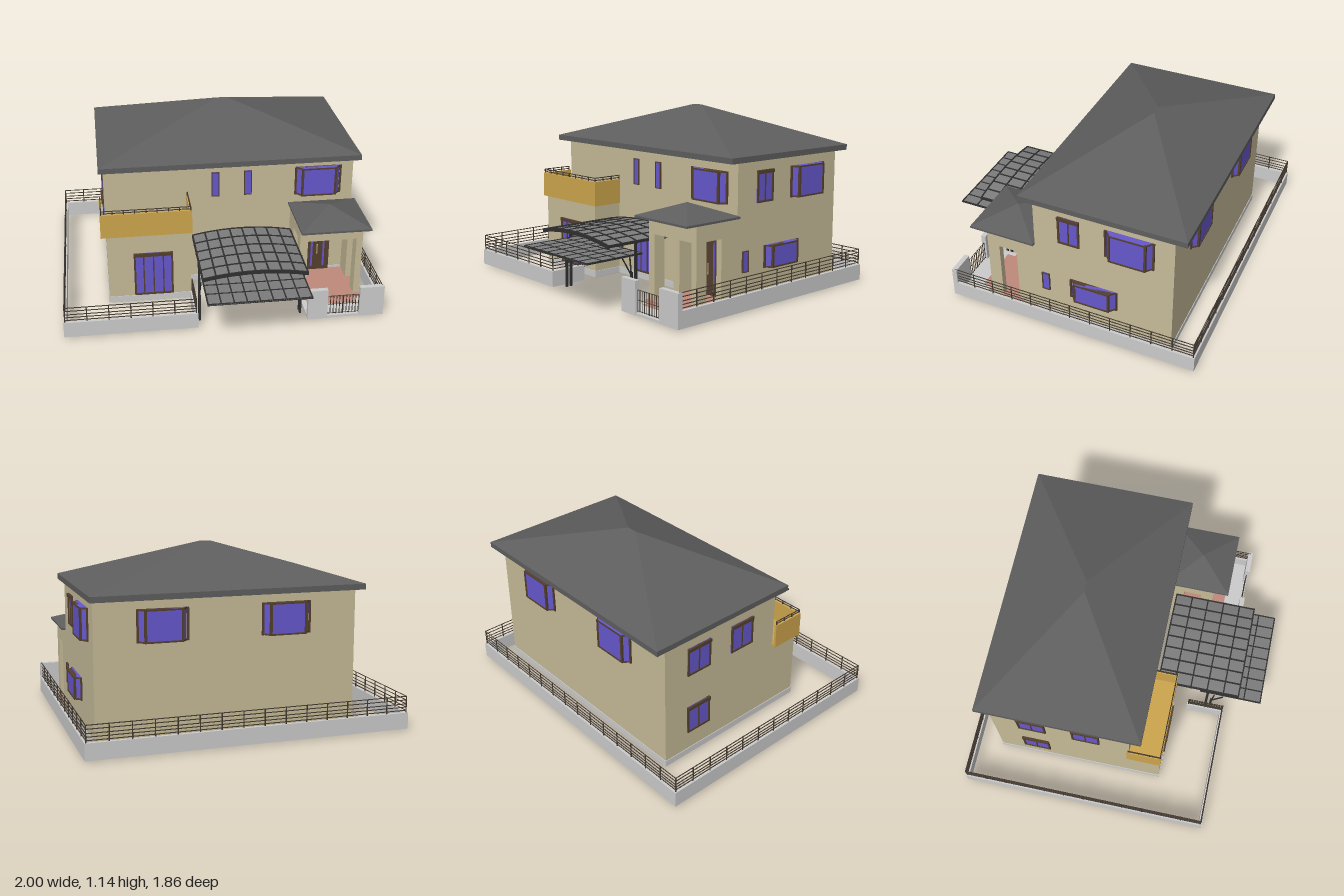
import * as THREE from 'three';
import { ConvexGeometry } from 'three/addons/geometries/ConvexGeometry.js';

const mat = (color) => new THREE.MeshStandardMaterial({ color });
const WALL = mat(0xc6bb98), GREY = mat(0xcccccc), ROOF = mat(0x5e5e5e), GLASS = mat(0x6658cc);
const FRAME = mat(0x54402e), DARK = mat(0x303030), YELLOW = mat(0xcda54c), TILE = mat(0xc08a7c);
const PANEL = mat(0x7c7c7c), FENCE = mat(0x453c33), METAL = mat(0xc9b27a);

// Box given by its limits
function box(parent, name, m, x0, x1, y0, y1, z0, z1) {
  const mesh = new THREE.Mesh(new THREE.BoxGeometry(x1 - x0, y1 - y0, z1 - z0), m);
  mesh.position.set((x0 + x1) / 2, (y0 + y1) / 2, (z0 + z1) / 2);
  mesh.name = name;
  parent.add(mesh);
  return mesh;
}

function group(parent, name) {
  const g = new THREE.Group();
  g.name = name;
  parent.add(g);
  return g;
}

// Round bar between two points
function bar(parent, name, m, a, b, r) {
  const A = new THREE.Vector3(...a), B = new THREE.Vector3(...b);
  const mesh = new THREE.Mesh(new THREE.CylinderGeometry(r, r, A.distanceTo(B), 6), m);
  mesh.position.copy(A).lerp(B, 0.5);
  mesh.quaternion.setFromUnitVectors(new THREE.Vector3(0, 1, 0), B.sub(A).normalize());
  mesh.name = name;
  parent.add(mesh);
}

// Hipped roof with a vertical fascia
function hipRoof(parent, name, x0, x1, z0, z1, y0, y1, top, ridge0, ridge1, ridgeZ) {
  const pts = [];
  for (const x of [x0, x1]) for (const z of [z0, z1]) for (const y of [y0, y1]) pts.push(new THREE.Vector3(x, y, z));
  pts.push(new THREE.Vector3(ridge0, top, ridgeZ));
  if (ridge1 !== ridge0) pts.push(new THREE.Vector3(ridge1, top, ridgeZ));
  const mesh = new THREE.Mesh(new ConvexGeometry(pts), ROOF);
  mesh.name = name;
  parent.add(mesh);
}

// Flat window facing +z; panes side by side, optional hood over the top
function flatWindow(parent, name, pos, turn, w, h, panes = 1, hood = false, f = 0.012) {
  const g = group(parent, name);
  g.position.set(...pos);
  g.rotation.y = turn;
  box(g, 'glass', GLASS, -w / 2, w / 2, -h / 2, h / 2, -0.005, 0.004);
  for (const s of [-1, 1]) {
    box(g, 'frameRail', FRAME, -w / 2, w / 2, s * (h - f) / 2 - f / 2, s * (h - f) / 2 + f / 2, -0.005, 0.01);
    box(g, 'frameStile', FRAME, s * (w - f) / 2 - f / 2, s * (w - f) / 2 + f / 2, -h / 2, h / 2, -0.005, 0.01);
  }
  for (let i = 1; i < panes; i++) {
    const x = -w / 2 + (w * i) / panes;
    box(g, 'mullion', FRAME, x - 0.004, x + 0.004, -h / 2, h / 2, -0.005, 0.008);
  }
  if (hood) box(g, 'shutterBox', FRAME, -w / 2, w / 2, h / 2 - 0.022, h / 2, 0, 0.016);
}

// Bay window facing +z with slanted sides
function bayWindow(parent, name, pos, turn, w, h) {
  const g = group(parent, name), d = 0.044, c = 0.045;
  g.position.set(...pos);
  g.rotation.y = turn;
  const slab = (part, m, grow, y0, y1) => {
    const a = w / 2 + grow;
    const s = new THREE.Shape([[-a, 0.01], [a, 0.01], [a - c, -d - grow], [c - a, -d - grow]].map((p) => new THREE.Vector2(...p)));
    const geo = new THREE.ExtrudeGeometry(s, { depth: y1 - y0, bevelEnabled: false });
    geo.rotateX(-Math.PI / 2);
    geo.translate(0, y0, 0);
    const mesh = new THREE.Mesh(geo, m);
    mesh.name = part;
    g.add(mesh);
  };
  slab('glass', GLASS, -0.004, -h / 2, h / 2);
  slab('sill', FRAME, 0, -h / 2, -h / 2 + 0.01);
  slab('head', FRAME, 0, h / 2 - 0.01, h / 2);
  for (const s of [-1, 1]) {
    const e = s * (w / 2 - 0.006), i = s * (w / 2 - c);
    box(g, 'cornerPost', FRAME, i - 0.007, i + 0.007, -h / 2, h / 2, d - 0.014, d);
    box(g, 'wallPost', FRAME, e - 0.006, e + 0.006, -h / 2, h / 2, -0.005, 0.01);
  }
}

// Posts and rails along a straight run
function railing(parent, name, x0, z0, x1, z1, y0, y1, rails, step, r = 0.003) {
  const g = group(parent, name), n = Math.max(1, Math.round(Math.hypot(x1 - x0, z1 - z0) / step));
  for (const y of rails) bar(g, 'rail', FENCE, [x0, y, z0], [x1, y, z1], r);
  for (let i = 0; i <= n; i++) {
    const x = x0 + ((x1 - x0) * i) / n, z = z0 + ((z1 - z0) * i) / n;
    bar(g, 'post', FENCE, [x, y0, z], [x, y1, z], r * 1.3);
  }
}

export function createModel() {
  const model = new THREE.Group();
  model.name = 'house';
  const R = Math.PI / 2;

  // House walls and plinth
  box(model, 'mainWalls', WALL, -0.71, 0.905, 0.01, 0.88, -0.75, 0.14);
  box(model, 'frontRoom', WALL, -0.71, -0.18, 0.01, 0.495, 0.1, 0.345);
  box(model, 'mainPlinth', GREY, -0.714, 0.909, 0.014, 0.055, -0.754, 0.144);
  box(model, 'frontRoomPlinth', GREY, -0.714, -0.176, 0.014, 0.055, 0.1, 0.349);
  hipRoof(model, 'mainRoof', -0.74, 0.935, -0.83, 0.22, 0.87, 0.905, 1.14, 0.07, 0.14, -0.305);

  // Balcony with a rail on the parapet
  const balcony = group(model, 'balcony');
  box(balcony, 'floor', YELLOW, -0.745, -0.17, 0.49, 0.51, 0.13, 0.352);
  box(balcony, 'frontParapet', YELLOW, -0.745, -0.17, 0.49, 0.65, 0.337, 0.352);
  box(balcony, 'leftParapet', YELLOW, -0.745, -0.73, 0.49, 0.65, 0.13, 0.337);
  box(balcony, 'rightParapet', YELLOW, -0.185, -0.17, 0.49, 0.65, 0.13, 0.337);
  railing(balcony, 'frontRail', -0.737, 0.345, -0.178, 0.345, 0.65, 0.675, [0.66, 0.675], 0.07);
  for (const x of [-0.737, -0.178]) railing(balcony, 'sideRail', x, 0.14, x, 0.345, 0.65, 0.675, [0.66, 0.675], 0.07);

  // Front windows
  flatWindow(model, 'frontRoomWindow', [-0.42, 0.212, 0.345], 0, 0.25, 0.305, 4, true);
  flatWindow(model, 'centreWindow', [0.112, 0.212, 0.14], 0, 0.255, 0.305, 4, true);
  for (const x of [0.005, 0.215]) flatWindow(model, 'narrowUpperWindow', [x, 0.72, 0.14], 0, 0.05, 0.17, 1, false, 0.005);
  bayWindow(model, 'frontBay', [0.675, 0.713, 0.14], 0, 0.305, 0.195);

  // Right wall windows (+x)
  flatWindow(model, 'sideUpperWindow', [0.905, 0.713, -0.09], R, 0.14, 0.195, 2, true);
  bayWindow(model, 'sideUpperBay', [0.905, 0.713, -0.475], R, 0.31, 0.195);
  bayWindow(model, 'sideLowerBay', [0.905, 0.28, -0.245], R, 0.31, 0.14);
  flatWindow(model, 'sideNarrowWindow', [0.905, 0.275, 0.073], R, 0.052, 0.13, 1, false, 0.005);

  // Back and left wall windows
  for (const x of [0.5, -0.26]) bayWindow(model, 'backBay', [x, 0.713, -0.75], Math.PI, 0.31, 0.195);
  for (const [y, z] of [[0.695, -0.49], [0.695, -0.14], [0.275, -0.49]])
    flatWindow(model, 'leftWindow', [-0.71, y, z], -R, 0.18, 0.19, 2, true);

  // Entrance porch: open front and sides under a small hipped roof
  const porch = group(model, 'porch');
  box(porch, 'lintelBlock', WALL, 0.5, 0.905, 0.44, 0.55, 0.13, 0.47);
  for (const [a, b] of [[0.5, 0.55], [0.865, 0.905]]) {
    box(porch, 'column', WALL, a, b, 0.01, 0.44, 0.39, 0.47);
    box(porch, 'sideWall', WALL, a, b, 0.01, 0.44, 0.13, 0.27);
  }
  box(porch, 'tiledFloor', TILE, 0.5, 0.905, 0.01, 0.04, 0.14, 0.5);
  box(porch, 'step', TILE, 0.55, 0.865, 0.01, 0.03, 0.5, 0.56);
  hipRoof(porch, 'porchRoof', 0.485, 0.93, 0.14, 0.57, 0.545, 0.558, 0.64, 0.705, 0.705, 0.355);

  // Front door
  const door = group(model, 'frontDoor');
  box(door, 'frame', FRAME, 0.62, 0.775, 0.04, 0.42, 0.135, 0.152);
  box(door, 'leaf', FRAME, 0.672, 0.758, 0.045, 0.405, 0.15, 0.158);
  for (const x of [0.655, 0.735]) box(door, 'glassStrip', GLASS, x - 0.006, x + 0.006, 0.07, 0.375, 0.15, 0.161);
  bar(door, 'handle', METAL, [0.69, 0.17, 0.165], [0.69, 0.24, 0.165], 0.004);

  // Boundary wall with fence on top
  const fence = group(model, 'boundary'), rails = [0.125, 0.145, 0.165, 0.19, 0.213];
  const runs = [[-1, -0.92, 1, -0.92], [-0.99, -0.92, -0.99, 0.685], [0.99, -0.92, 0.99, 0.68],
    [-0.99, 0.685, -0.185, 0.685], [-0.185, 0.45, -0.185, 0.685]];
  for (const [x0, z0, x1, z1] of runs) {
    const ax = x0 === x1 ? 0.01 : 0, az = 0.01;
    box(fence, 'lowWall', GREY, Math.max(-1, x0 - ax), Math.min(1, x1 + ax), 0.01, 0.112, z0 - az, z1 + az);
    const c = (v) => THREE.MathUtils.clamp(v, -0.99, 0.99);
    railing(fence, 'fenceRun', c(x0), z0, c(x1), z1, 0.11, 0.215, rails, 0.13);
  }

  // Gate with its posts and paved threshold
  const gate = group(model, 'gate');
  box(gate, 'paving', GREY, 0.515, 1, 0.01, 0.025, 0.5, 0.692);
  box(gate, 'leftPost', GREY, 0.515, 0.64, 0.01, 0.215, 0.665, 0.697);
  box(gate, 'rightPost', GREY, 0.845, 1, 0.01, 0.215, 0.665, 0.697);
  for (const x of [0.642, 0.745]) railing(gate, 'gateLeaf', x, 0.68, x + 0.098, 0.68, 0.03, 0.16, [0.035, 0.1, 0.16], 0.02, 0.002);

  // Carport: arched upper roof
  const carport = group(model, 'carport'), cx = 0.165, half = 0.325;
  const archY = (x) => 0.4 + 0.034 * (1 - ((x - cx) / half) ** 2);
  const arch = (name, m, z0, z1, lo, hi) => {
    const up = [], down = [];
    for (let i = 0; i <= 16; i++) {
      const x = cx + half * (i / 8 - 1);
      up.push(new THREE.Vector2(x, archY(x) + hi));
      down.unshift(new THREE.Vector2(x, archY(x) + lo));
    }
    const geo = new THREE.ExtrudeGeometry(new THREE.Shape([...up, ...down]), { depth: z1 - z0, bevelEnabled: false });
    const mesh = new THREE.Mesh(geo, m);
    mesh.position.z = z0;
    mesh.name = name;
    carport.add(mesh);
  };
  arch('archPanel', PANEL, 0.22, 0.77, -0.004, 0);
  for (const z of [0.22, 0.33, 0.44, 0.55, 0.66, 0.762]) arch('archRib', DARK, z, z + 0.009, -0.018, 0.005);
  for (let i = 0; i <= 8; i++) {
    const x = cx + half * 0.985 * (i / 4 - 1), y = archY(x);
    box(carport, 'archBeam', DARK, x - 0.005, x + 0.005, y - 0.012, y + 0.004, 0.22, 0.77);
  }

  // Carport: flat lower roof, posts and braces
  box(carport, 'lowerPanel', PANEL, -0.145, 0.485, 0.317, 0.321, 0.51, 0.925);
  for (let i = 0; i <= 8; i++) {
    const x = -0.142 + (0.624 * i) / 8;
    box(carport, 'lowerBeam', DARK, x - 0.004, x + 0.004, 0.313, 0.324, 0.51, 0.925);
  }
  for (const z of [0.514, 0.61, 0.71, 0.81, 0.921]) box(carport, 'lowerRib', DARK, -0.145, 0.485, 0.313, 0.324, z - 0.004, z + 0.004);
  for (const x of [-0.155, 0.488]) {
    box(carport, 'post', DARK, x - 0.006, x + 0.006, 0, 0.4, 0.557, 0.573);
    box(carport, 'postFoot', DARK, x - 0.006, x + 0.006, 0, 0.22, 0.59, 0.605);
    bar(carport, 'longBrace', DARK, [x, 0.2, 0.598], [x, 0.317, 0.668], 0.005);
    bar(carport, 'shortBrace', DARK, [x, 0.2, 0.598], [x, 0.317, 0.61], 0.005);
  }
  return model;
}
